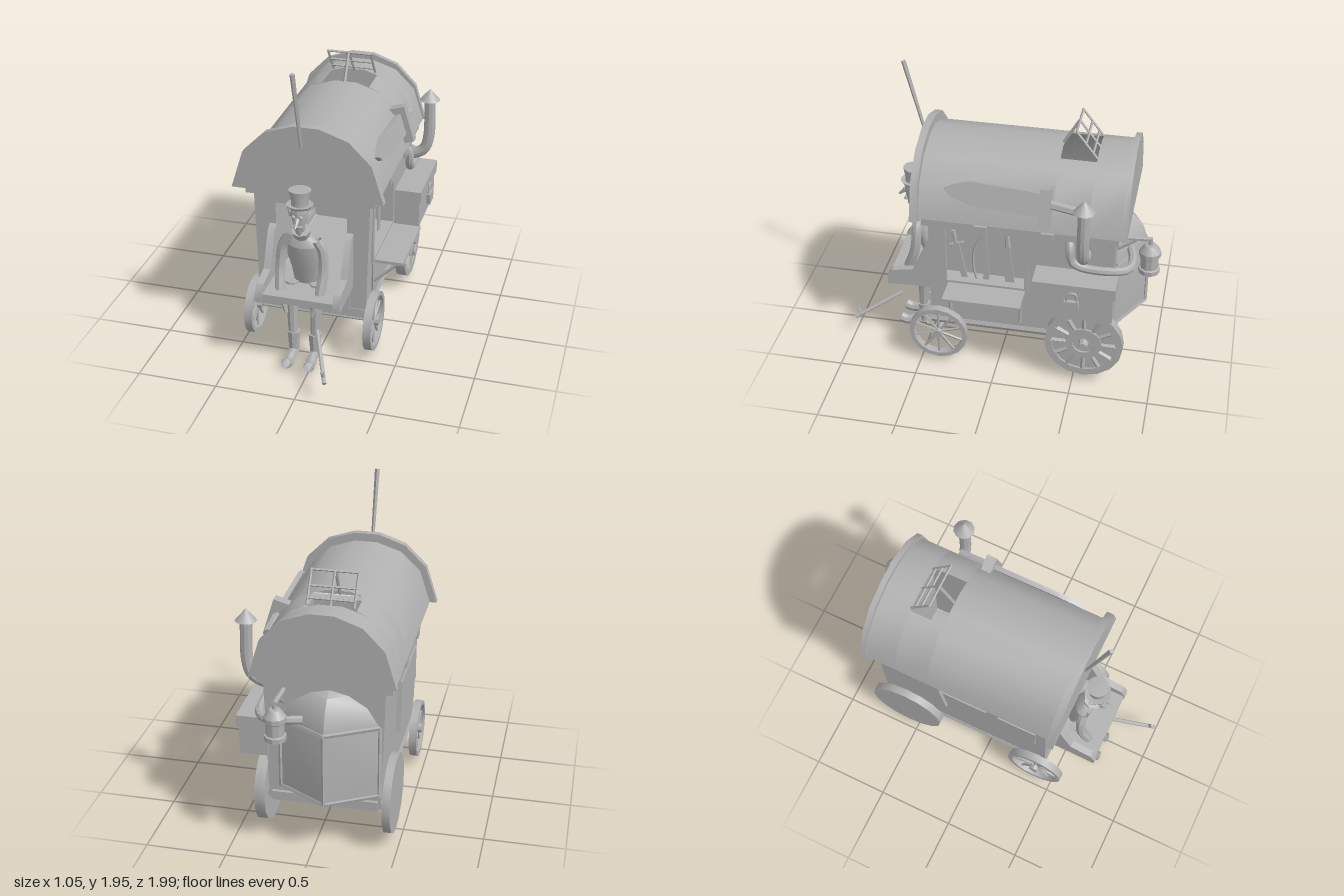
import * as THREE from 'three';
import { toCreasedNormals } from 'three/addons/utils/BufferGeometryUtils.js';

export function createModel() {
  const root = new THREE.Group();
  root.name = 'caravan';
  const clay = new THREE.MeshStandardMaterial({ color: 0xb0b0b0, side: THREE.DoubleSide });
  clay.name = 'clay grey';
  const V = (a) => new THREE.Vector3(...a);

  const add = (name, geo, pos = [0, 0, 0], parent = root) => {
    const m = new THREE.Mesh(toCreasedNormals(geo, 0.6), clay);
    m.name = name;
    m.position.set(...pos);
    parent.add(m);
    return m;
  };
  // box from its limits
  const box = (name, x0, x1, y0, y1, z0, z1, p = root) =>
    add(name, new THREE.BoxGeometry(x1 - x0, y1 - y0, z1 - z0), [(x0 + x1) / 2, (y0 + y1) / 2, (z0 + z1) / 2], p);
  // tapered rod between two points
  const rod = (name, a, b, r0, r1 = r0, n = 8, p = root) => {
    const d = V(b).sub(V(a));
    const m = add(name, new THREE.CylinderGeometry(r1, r0, d.length(), n), V(a).add(V(b)).multiplyScalar(0.5).toArray(), p);
    m.quaternion.setFromUnitVectors(new THREE.Vector3(0, 1, 0), d.normalize());
    return m;
  };
  const tube = (name, pts, r, n = 8, p = root) =>
    add(name, new THREE.TubeGeometry(new THREE.CatmullRomCurve3(pts.map(V)), 20, r, n), [0, 0, 0], p);
  const lathe = (name, pts, pos, n = 12, p = root) =>
    add(name, new THREE.LatheGeometry(pts.map((q) => new THREE.Vector2(...q)), n), pos, p);
  const shape = (pts) => new THREE.Shape(pts.map((q) => new THREE.Vector2(...q)));
  const rect = (a0, a1, b0, b1) => [[a0, b0], [a1, b0], [a1, b1], [a0, b1]];
  // slab facing z: points are (x, y); slab facing x: points are (z, y)
  const slabZ = (name, pts, z, d, holes = [], p = root) => {
    const s = shape(pts);
    s.holes = holes.map(shape);
    return add(name, new THREE.ExtrudeGeometry(s, { depth: d, bevelEnabled: false }), [0, 0, z], p);
  };
  const slabX = (name, pts, x, d, holes = [], p = root) => {
    const s = shape(pts);
    s.holes = holes.map(shape);
    const g = new THREE.ExtrudeGeometry(s, { depth: d, bevelEnabled: false });
    return add(name, g.rotateY(-Math.PI / 2), [x + d, 0, 0], p);
  };

  // Body: walls leaning slightly outward
  const CX = -0.055;
  const lean = (m, s) => {
    const a = m.geometry.attributes.position;
    for (let i = 0; i < a.count; i++) a.setX(i, a.getX(i) + s * 0.028 * (a.getY(i) - 0.28));
    return m;
  };
  lean(slabX('rightWall', rect(-0.73, 0.43, 0.28, 1.08), 0.26, 0.03, [rect(-0.19, 0.34, 0.63, 1.04)]), 1);
  lean(slabX('leftWall', rect(-0.73, 0.43, 0.28, 1.08), -0.395, 0.03), -1);
  const end = [[-0.39, 0.28], [0.285, 0.28], [0.305, 1.08], [-0.415, 1.08]];
  slabZ('frontWall', end, 0.4, 0.03, [rect(-0.28, 0.17, 0.52, 1.0)]);
  slabZ('backWall', end, -0.73, 0.03);
  box('frontPanel', -0.275, 0.19, 0.31, 0.48, 0.43, 0.44);
  box('floor', -0.38, 0.28, 0.28, 0.32, -0.73, 0.43);
  for (const x of [-0.375, 0.27]) rod('sideRail', [x, 0.3, -0.73], [x, 0.3, 0.435], 0.033);
  for (const z of [-0.735, 0.42]) box('endRail', -0.38, 0.27, 0.27, 0.33, z - 0.015, z + 0.015);
  slabX('eaveRight', rect(-0.75, 0.46, 1.06, 1.12), 0.28, 0.07);
  slabX('eaveLeft', rect(-0.75, 0.46, 1.06, 1.12), -0.46, 0.07);
  slabZ('eaveFront', rect(-0.46, 0.35, 1.06, 1.12), 0.4, 0.06);
  slabZ('eaveBack', rect(-0.46, 0.35, 1.06, 1.12), -0.75, 0.06);
  for (const z of [0.09, -0.32]) for (const x of [0.33, -0.44]) box('eaveBlock', x - 0.035, x + 0.035, 1.05, 1.105, z - 0.04, z + 0.04);

  // Roof: faceted shell in three lengths with a skylight hole
  const half = [[0.47, 1.12], [0.395, 1.36], [0.255, 1.5], [0.08, 1.56]];
  const arch = (s, t) => [...half.map(([x, y]) => [CX + x * s, 1.12 + (y - 1.12) * t]),
    ...half.slice().reverse().map(([x, y]) => [CX - x * s, 1.12 + (y - 1.12) * t])];
  slabZ('frontGable', arch(1, 1), 0.474, 0.046);
  slabZ('backGable', arch(0.93, 0.97), -0.8, 0.035);
  const shell = (name, prof, z0, z1) => {
    const pos = [], idx = [];
    prof.forEach(([x, y], i) => {
      pos.push(x, y, z0, x, y, z1);
      if (i) idx.push(2 * i - 2, 2 * i, 2 * i - 1, 2 * i, 2 * i + 1, 2 * i - 1);
    });
    const g = new THREE.BufferGeometry();
    g.setAttribute('position', new THREE.Float32BufferAttribute(pos, 3));
    g.setIndex(idx);
    g.computeVertexNormals();
    add(name, g);
  };
  const prof = arch(0.905, 0.88);
  const [hx0, hx1, hy] = [-0.21, 0.1, 1.484];
  shell('roofFront', prof, -0.35, 0.48);
  shell('roofBack', prof, -0.77, -0.57);
  shell('roofRight', [...prof.slice(0, 3), [hx1, hy]], -0.57, -0.35);
  shell('roofLeft', [[hx0, hy], ...prof.slice(5)], -0.57, -0.35);

  // Propped skylight frame
  const sky = (x, t) => [x, 1.5 + 0.17 * t, -0.57 + 0.13 * t];
  for (const x of [-0.195, -0.055, 0.085]) rod('skylightBar', sky(x, 0), sky(x, 1), 0.008, 0.008, 4);
  for (const t of [0.2, 0.55, 1]) rod('skylightCrossbar', sky(-0.2, t), sky(0.09, t), 0.008, 0.008, 4);
  rod('skylightProp', [-0.06, 1.48, -0.33], sky(-0.06, 1), 0.01, 0.01, 4);
  rod('roofPole', [-0.085, 1.43, 0.52], [-0.09, 1.94, 0.65], 0.01, 0.016, 4);

  // Wheels
  const spin = (m) => { m.rotation.z = Math.PI / 2; return m; };
  const ring = (name, r, ri, w, n, x, y, z) => {
    const h = w / 2;
    const g = new THREE.LatheGeometry([[ri, -h], [r, -h], [r, h], [ri, h], [ri, -h]].map((q) => new THREE.Vector2(...q)), n);
    spin(add(name, g, [x, y, z]));
  };
  for (const x of [-0.435, 0.33]) {
    ring('frontWheelRim', 0.19, 0.162, 0.05, 16, x, 0.23, 0.38);
    rod('frontHub', [x - 0.035, 0.23, 0.38], [x + 0.035, 0.23, 0.38], 0.03);
    for (let i = 0; i < 10; i++) {
      const a = (i / 10) * Math.PI * 2;
      rod('frontSpoke', [x, 0.23, 0.38], [x, 0.23 + 0.17 * Math.cos(a), 0.38 + 0.17 * Math.sin(a)], 0.009, 0.009, 5);
    }
    rod('rearWheelDisc', [x - 0.03, 0.3, -0.565], [x + 0.02, 0.3, -0.565], 0.25, 0.25, 16);
  }
  ring('rearWheelRim', 0.25, 0.205, 0.02, 16, 0.355, 0.3, -0.565);
  ring('rearWheelInnerRing', 0.115, 0.07, 0.02, 16, 0.355, 0.3, -0.565);
  for (let i = 0; i < 12; i++) {
    const a = (i / 12) * Math.PI * 2, c = Math.cos(a), s = Math.sin(a);
    rod('rearSpoke', [0.352, 0.3 + 0.1 * c, -0.565 + 0.1 * s], [0.352, 0.3 + 0.21 * c, -0.565 + 0.21 * s], 0.013, 0.016, 4);
  }
  rod('rearHub', [0.34, 0.3, -0.565], [0.395, 0.3, -0.565], 0.035, 0.025, 8);
  rod('frontAxle', [-0.435, 0.23, 0.38], [0.33, 0.23, 0.38], 0.012);
  rod('rearAxle', [-0.435, 0.3, -0.565], [0.33, 0.3, -0.565], 0.015);

  // Driver's bench
  const arm = [[0.74, 0.475], [0.74, 0.54], [0.71, 0.585], [0.57, 0.61], [0.47, 0.83], [0.43, 0.855], [0.43, 0.495]];
  slabX('benchSideLeft', arm, -0.32, 0.045);
  slabX('benchSideRight', arm, 0.165, 0.045);
  box('benchSeat', -0.32, 0.21, 0.485, 0.53, 0.41, 0.735);

  // Display window with goods, counter and brackets
  slabX('windowFrame', rect(-0.2, 0.35, 0.62, 1.05), 0.295, 0.02, [rect(-0.175, 0.32, 0.64, 1.03)]);
  slabX('displayBack', rect(-0.21, 0.36, 0.55, 1.06), 0.18, 0.01);
  box('displayShelf', 0.18, 0.3, 0.61, 0.625, -0.2, 0.35);
  box('counter', 0.29, 0.495, 0.605, 0.625, -0.18, 0.31);
  for (const z of [0.3, -0.15]) {
    rod('bracketPost', [0.305, 0.37, z], [0.305, 0.6, z], 0.012, 0.012, 5);
    rod('bracketArm', [0.3, 0.46, z], [0.45, 0.605, z], 0.01, 0.01, 5);
  }
  slabX('displayDagger', [[0.2, 0.63], [0.24, 0.63], [0.285, 0.88], [0.25, 0.88]], 0.24, 0.012);
  rod('daggerGuard', [0.25, 0.9, 0.22], [0.25, 0.87, 0.31], 0.01, 0.01, 5);
  rod('daggerGrip', [0.25, 0.88, 0.27], [0.25, 0.98, 0.285], 0.012, 0.014, 6);
  tube('displayBow', [[0.25, 0.63, 0.14], [0.25, 0.73, 0.16], [0.25, 0.87, 0.15], [0.25, 1.02, 0.08]], 0.008, 5);
  slabX('displayBlade', [[0.06, 0.63], [0.1, 0.63], [0.08, 0.98]], 0.24, 0.01);
  slabX('displaySaw', [[-0.1, 0.63], [-0.04, 0.63], [-0.045, 0.9], [-0.07, 0.9]], 0.24, 0.01);
  rod('sawGrip', [0.25, 0.9, -0.06], [0.25, 1.0, -0.055], 0.018, 0.015, 6);
  slabX('leftShutter', rect(-0.3, 0.36, 0.62, 0.86), -0.42, 0.012);
  slabX('leftSpike', [[-0.34, 0.6], [-0.26, 0.66], [-0.3, 0.92]], -0.44, 0.03);

  // Trunk with padlock
  box('trunkBase', 0.29, 0.465, 0.57, 0.75, -0.745, -0.265);
  box('trunkLid', 0.29, 0.478, 0.75, 0.83, -0.76, -0.25);
  slabX('padlock', [[-0.545, 0.65], [-0.46, 0.645], [-0.45, 0.72], [-0.54, 0.725]], 0.475, 0.025);
  tube('padlockShackle', [[0.487, 0.72, -0.53], [0.487, 0.775, -0.52], [0.487, 0.775, -0.48], [0.487, 0.72, -0.465]], 0.008, 6);

  // Stove pipes
  tube('chimneyPipe', [[0.3, 0.96, -0.55], [0.37, 0.97, -0.55], [0.43, 1.01, -0.55], [0.457, 1.1, -0.55], [0.457, 1.37, -0.55]], 0.037, 10);
  add('chimneyCap', new THREE.ConeGeometry(0.067, 0.075, 10), [0.457, 1.395, -0.55]);
  tube('stovePipe', [[0.32, 1.05, -0.455], [0.35, 1.01, -0.46], [0.35, 0.92, -0.47], [0.345, 0.88, -0.53], [0.34, 0.87, -0.72], [0.3, 0.87, -0.81], [0.2, 0.87, -0.83], [0.06, 0.87, -0.8]], 0.027, 8);

  // Lantern on its arm
  rod('lanternArm', [0.19, 1.02, -0.72], [0.19, 1.035, -0.94], 0.016, 0.016, 6);
  rod('lanternBrace', [0.19, 0.94, -0.73], [0.19, 1.02, -0.84], 0.012, 0.012, 5);
  lathe('lantern', [[0, 0.8], [0.066, 0.8], [0.066, 0.83], [0.055, 0.835], [0.055, 0.91], [0.068, 0.92], [0.068, 0.95], [0.035, 0.995], [0.015, 1.0], [0.012, 1.03]], [0.19, 0, -0.93], 10);

  // Wedge-shaped rear closet: triangular cross-sections lofted to the roof
  const tri = (y, s) => [[CX - 0.03 + 0.3 * s, y, -0.73], [CX - 0.03, y, -0.73 - 0.17 * s], [CX - 0.03 - 0.3 * s, y, -0.73]];
  const levels = [tri(0.36, 1), tri(0.83, 1), tri(0.95, 0.75), tri(1.02, 0.38), tri(1.045, 0.02)];
  const cp = levels.flat(2), ci = [0, 1, 2];
  for (let l = 0; l < 4; l++) for (let k = 0; k < 2; k++) {
    const a = l * 3 + k;
    ci.push(a, a + 1, a + 3, a + 1, a + 4, a + 3);
  }
  const cg = new THREE.BufferGeometry();
  cg.setAttribute('position', new THREE.Float32BufferAttribute(cp, 3));
  cg.setIndex(ci);
  cg.computeVertexNormals();
  add('rearCloset', cg);
  for (const y of [0.37, 0.83]) {
    const t = tri(y, 1);
    for (const k of [0, 1]) rod('closetTrim', t[k], t[k + 1], 0.014, 0.014, 4);
  }
  for (const q of tri(0.36, 1)) rod('closetPost', q, [q[0], 0.83, q[2]], 0.014, 0.014, 4);

  // Great sword on the roof side
  const sword = new THREE.Group();
  sword.name = 'roofSword';
  sword.position.set(0.335, 1.28, 0);
  sword.rotation.z = 0.3;
  root.add(sword);
  slabX('blade', [[0.32, 0.05], [0.26, 0.08], [0.16, 0.11], [-0.2, 0.09], [-0.27, 0.08], [-0.27, -0.06], [0.14, -0.04], [0.28, 0.01]], -0.015, 0.03, [], sword);
  box('guard', -0.05, 0.05, -0.12, 0.12, -0.335, -0.27, sword);
  rod('grip', [0, 0.02, -0.33], [0, -0.01, -0.52], 0.028, 0.028, 6, sword);

  // Coachman
  const man = new THREE.Group();
  man.name = 'coachman';
  man.position.x = -0.068;
  root.add(man);
  const torso = lathe('torso', [[0, 0], [0.075, 0], [0.085, 0.1], [0.105, 0.2], [0.1, 0.29], [0.06, 0.34], [0.03, 0.36]], [0, 0.54, 0.5], 14, man);
  torso.scale.z = 0.62;
  torso.rotation.x = 0.2;
  rod('collar', [0, 0.88, 0.58], [0, 0.93, 0.595], 0.045, 0.06, 8, man);
  rod('neck', [0, 0.88, 0.58], [0, 1.0, 0.605], 0.028, 0.026, 8, man);
  const head = lathe('head', [[0, -0.12], [0.018, -0.1], [0.035, -0.04], [0.054, 0.02], [0.055, 0.07], [0.04, 0.1]], [0, 1.03, 0.625], 10, man);
  head.rotation.x = -0.15;
  rod('nose', [0, 1.035, 0.665], [0, 0.995, 0.715], 0.018, 0.006, 6, man);
  rod('moustache', [-0.035, 0.985, 0.665], [0.035, 0.985, 0.665], 0.01, 0.01, 5, man);
  for (const s of [-1, 1]) {
    add('eye', new THREE.SphereGeometry(0.013, 8, 6), [s * 0.022, 1.05, 0.67], man);
    rod('ear', [s * 0.045, 1.04, 0.62], [s * 0.085, 1.075, 0.59], 0.022, 0.002, 5, man);
    tube('arm', [[s * 0.09, 0.86, 0.575], [s * 0.122, 0.8, 0.575], [s * 0.135, 0.66, 0.59], [s * 0.125, 0.52, 0.64]], 0.032, 8, man);
    rod('hand', [s * 0.122, 0.53, 0.638], [s * 0.08, 0.38, 0.665], 0.026, 0.012, 6, man);
    const x = s * 0.072;
    rod('leg', [x * 1.1, 0.54, 0.54], [x, 0.17, 0.565], 0.045, 0.028, 8, man);
    rod('bootShaft', [x * 0.95, 0.05, 0.56], [x * 0.95, 0.19, 0.56], 0.032, 0.042, 8, man);
    tube('bootFoot', [[x * 0.95, 0.045, 0.54], [x * 0.95, 0.04, 0.62], [x, 0.03, 0.68], [x, 0.045, 0.725]], 0.033, 8, man);
  }
  const hat = lathe('topHat', [[0, -0.015], [0.07, -0.01], [0.082, 0.008], [0.052, 0.005], [0.052, 0.03], [0.068, 0.1], [0, 0.105]], [0, 1.105, 0.615], 14, man);
  hat.rotation.x = -0.06;

  // Harness pole
  rod('harnessPole', [0.055, 0.3, 0.69], [0.185, 0.14, 0.99], 0.013);
  rod('harnessHook', [0.17, 0.16, 0.955], [0.165, 0.21, 0.975], 0.012, 0.01, 5);
  return root;
}
